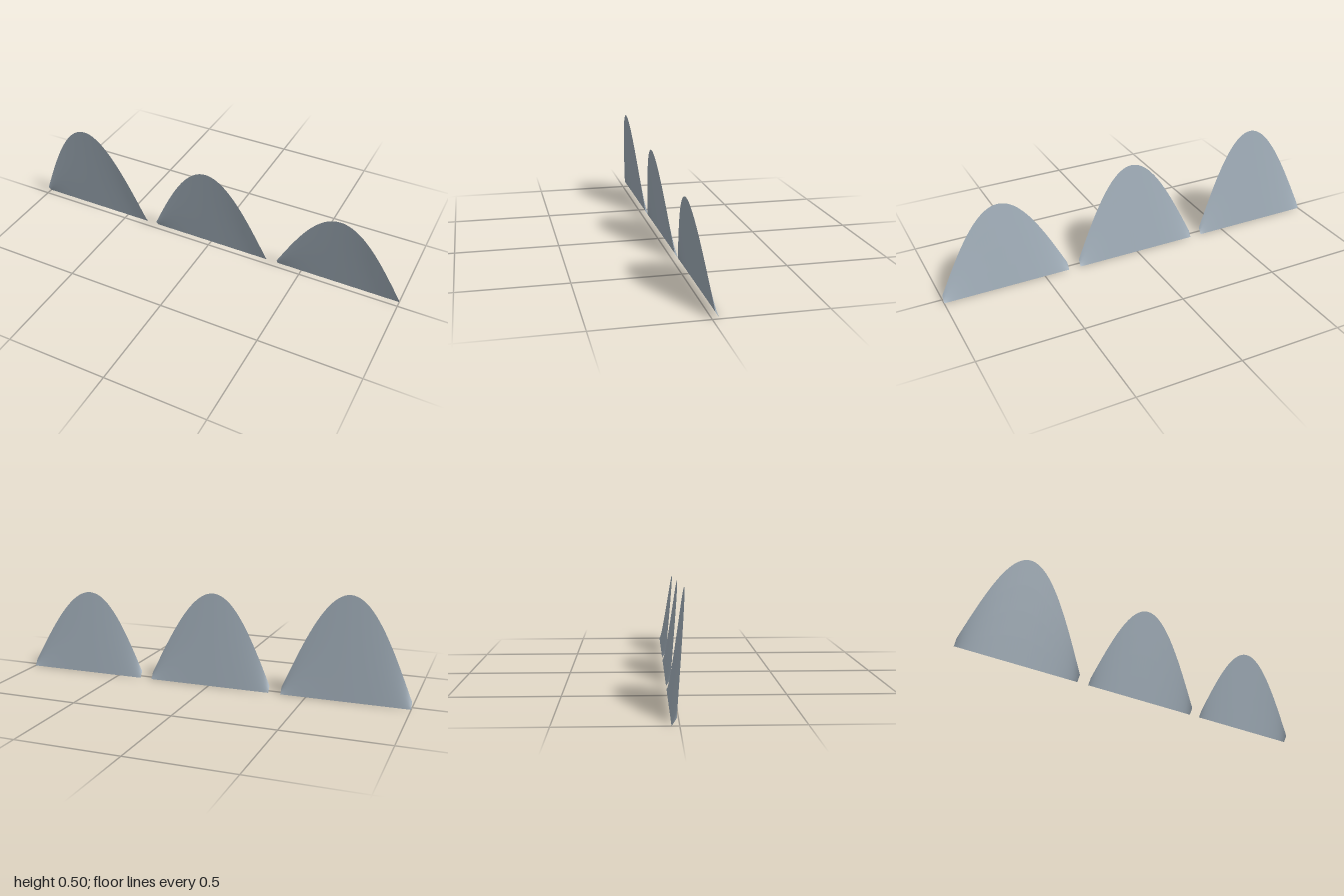
import * as THREE from 'three';

const WIDTH = 0.626;
const BACK = -0.032;

// Ruled sheet from a straight base line up to an arched, forward-leaning rim
function sailGeometry(height) {
  const geo = new THREE.PlaneGeometry(WIDTH, 1, 40, 4);
  const pos = geo.attributes.position;
  for (let i = 0; i < pos.count; i++) {
    const x = pos.getX(i);
    const t = pos.getY(i) + 0.5;
    const arch = Math.cos((Math.PI * x) / WIDTH);
    const rimY = 0.03 + (height - 0.03) * arch;
    const rimZ = -0.012 + 0.044 * arch;
    pos.setXYZ(i, x, t * rimY, BACK + t * (rimZ - BACK));
  }
  geo.computeVertexNormals();
  return geo;
}

export function createModel() {
  const model = new THREE.Group();
  model.name = 'archedPanels';

  const paleSteel = new THREE.MeshStandardMaterial({ color: 0xa0adb8, side: THREE.DoubleSide });
  paleSteel.name = 'paleSteel';

  // Three panels in a row, stepping down in height
  const panels = [
    ['tallPanel', -0.687, 0.503],
    ['middlePanel', 0, 0.459],
    ['shortPanel', 0.687, 0.415],
  ];
  for (const [name, x, height] of panels) {
    const panel = new THREE.Mesh(sailGeometry(height), paleSteel);
    panel.name = name;
    panel.position.x = x;
    model.add(panel);
  }
  return model;
}
